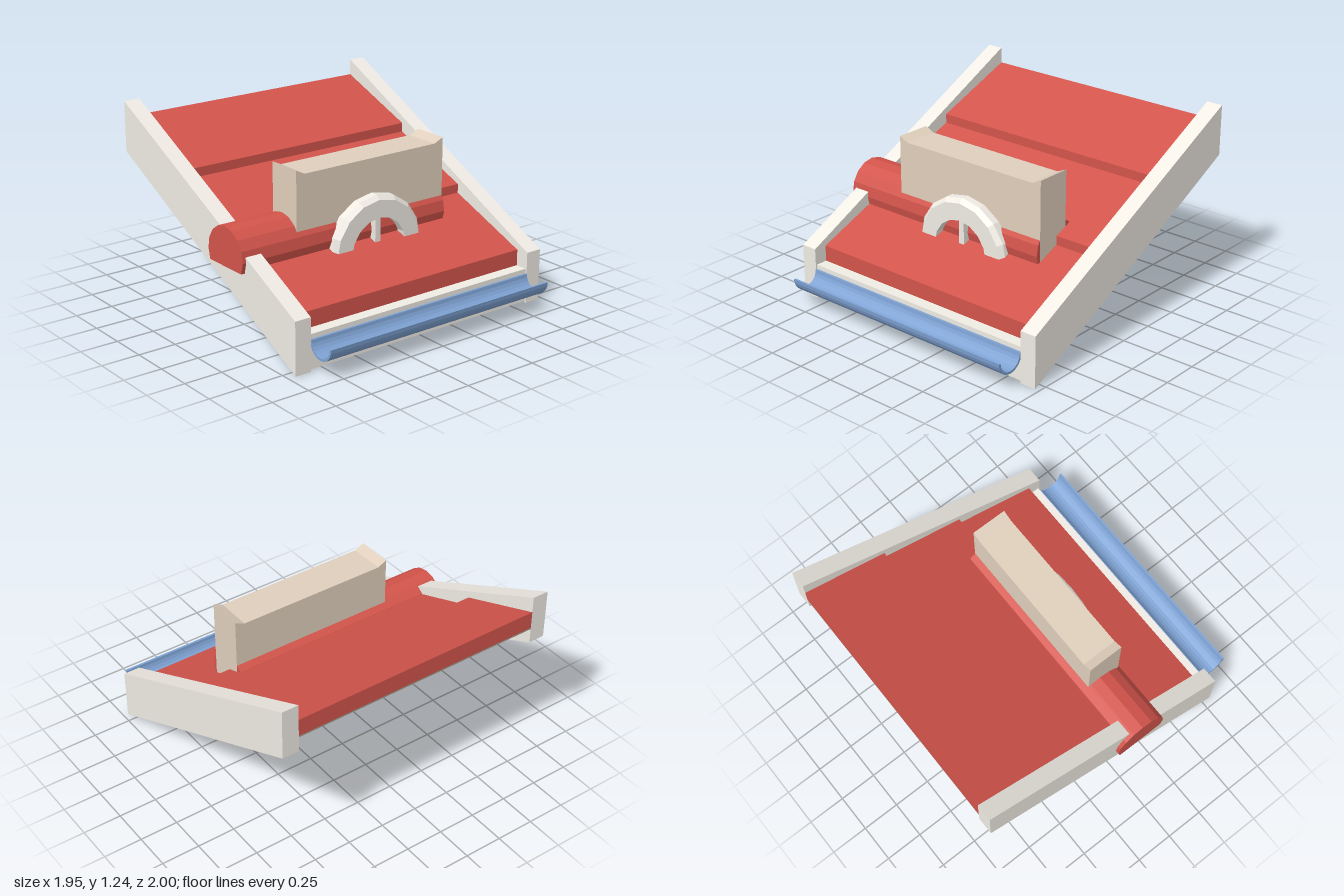
import * as THREE from 'three';

const mat = (color) => new THREE.MeshStandardMaterial({ color, flatShading: true });

export function createModel() {
  const group = new THREE.Group();
  const red = mat(0xd2544b), white = mat(0xf0ece4), beige = mat(0xe0cfbc);
  const boardMat = mat(0xa39a8a), blue = mat(0x7fa3d4), glassMat = mat(0x9cc8d8);

  const add = (name, geometry, material) => {
    const mesh = new THREE.Mesh(geometry, material);
    mesh.name = name;
    group.add(mesh);
    return mesh;
  };
  // Side profile of [z, y] points, extruded from x0 to x1
  const sideExtrude = (pts, x0, x1) => {
    const shape = new THREE.Shape(pts.map(([z, y]) => new THREE.Vector2(-z, y)));
    return new THREE.ExtrudeGeometry(shape, { depth: x1 - x0, bevelEnabled: false })
      .rotateY(Math.PI / 2).translate(x0, 0, 0);
  };
  // Points along an arc in the z-y plane
  const arc = (z, y, r, a0, a1, n) => Array.from({ length: n + 1 }, (_, i) => {
    const a = a0 + (a1 - a0) * i / n;
    return [z + r * Math.cos(a), y + r * Math.sin(a)];
  });

  // Sloping side beams
  const beam = [[0.81, 0], [0.81, 0.34], [-1, 1.24], [-1, 0.91]];
  add('rightBeam', sideExtrude(beam, -0.95, -0.84), white);
  add('leftBeam', sideExtrude(beam, 0.86, 0.97), white);

  // Three overlapping roof courses
  add('roof', sideExtrude([
    [-1, 1.135], [-0.43, 0.91], [-0.43, 0.85], [0.145, 0.625],
    [0.145, 0.565], [0.72, 0.335], [0.72, 0.16], [-1, 1.02],
  ], -0.84, 0.86), red);
  add('roofBoard', sideExtrude([
    [-1, 1.02], [0.72, 0.16], [0.72, 0.15], [-1, 1.01],
  ], -0.84, 0.86), boardMat);

  // Fascia bar along the eaves
  add('fascia', sideExtrude([
    [0.8, 0.23], [0.72, 0.23], [0.72, 0.05], [0.8, 0.01],
  ], -0.84, 0.86), white);

  // Half-pipe gutter
  add('gutter', sideExtrude([
    ...arc(0.9, 0.2, 0.1, 0, -Math.PI, 12),
    ...arc(0.9, 0.2, 0.085, -Math.PI, 0, 12),
  ], -0.84, 0.86), blue);

  // Rounded dormer roof with a flat base
  const cut = Math.asin(0.075 / 0.18);
  add('dormerRoof', sideExtrude(
    arc(0.15, 0.553, 0.18, -cut, Math.PI + cut, 10), -0.975, 0.58), red);

  // Upright block with raised end lips
  const front = new THREE.Shape([
    [-0.562, 0.45], [0.581, 0.45], [0.581, 1.03], [0.515, 1.0], [-0.5, 1.0], [-0.562, 1.03],
  ].map(([x, y]) => new THREE.Vector2(x, y)));
  add('block', new THREE.ExtrudeGeometry(front, { depth: 0.24, bevelEnabled: false })
    .translate(0, 0, 0.06), beige);

  // Round window: chamfered frame, pane and crossbars
  const cx = 0.008, cy = 0.428;
  const ring = [[0.21, 0.25], [0.352, 0.25], [0.352, 0.35], [0.325, 0.38], [0.21, 0.38], [0.21, 0.25]]
    .map(([r, h]) => new THREE.Vector2(r, h));
  add('windowFrame', new THREE.LatheGeometry(ring, 16).rotateX(Math.PI / 2), white)
    .position.set(cx, cy, 0);
  add('windowPane', new THREE.CylinderGeometry(0.215, 0.215, 0.02, 16).rotateX(Math.PI / 2), glassMat)
    .position.set(cx, cy, 0.275);
  add('verticalBar', new THREE.BoxGeometry(0.04, 0.42, 0.08), white).position.set(cx, cy, 0.325);
  add('horizontalBar', new THREE.BoxGeometry(0.42, 0.04, 0.08), white).position.set(cx, cy, 0.325);

  return group;
}
